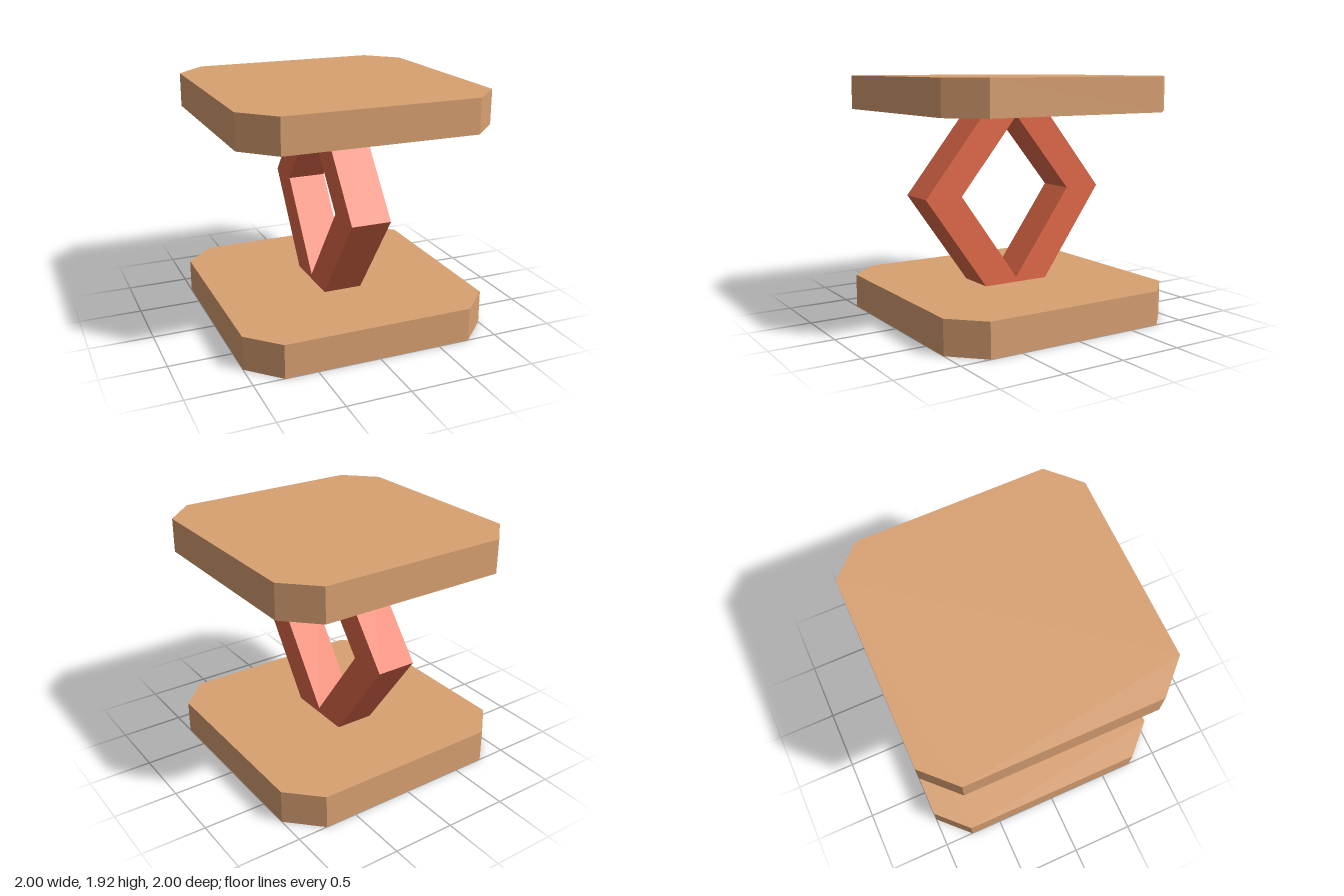
import * as THREE from 'three';

const wood = new THREE.MeshStandardMaterial({ color: 0xd9a172, flatShading: true });
const red = new THREE.MeshStandardMaterial({ color: 0xe46a4a, flatShading: true });

const points = (list) => list.map(([x, y]) => new THREE.Vector2(x, y));

function extrude(shape, depth) {
  return new THREE.ExtrudeGeometry(shape, { depth, bevelEnabled: false });
}

export function createModel() {
  const group = new THREE.Group();

  // Square slabs with cut corners, bottom and top
  const c = 0.76, thickness = 0.27;
  const slab = extrude(new THREE.Shape(points([
    [1, -c], [1, c], [c, 1], [-c, 1], [-1, c], [-1, -c], [-c, -1], [c, -1],
  ])), thickness);
  slab.rotateX(-Math.PI / 2);
  for (const [name, y] of [['bottomPlate', 0], ['topPlate', 1.655]]) {
    const plate = new THREE.Mesh(slab, wood);
    plate.name = name;
    plate.position.y = y;
    group.add(plate);
  }

  // Diamond-shaped frame joining the slabs, flattened where it meets them
  const outline = new THREE.Shape(points([
    [0.285, 0.27], [0.81, 1.005], [0.285, 1.655],
    [-0.285, 1.655], [-0.81, 1.005], [-0.285, 0.27],
  ]));
  outline.holes.push(new THREE.Path(points([
    [0, 0.31], [-0.5, 1.005], [0, 1.617], [0.5, 1.005],
  ])));
  const width = 0.315;
  const frameGeometry = extrude(outline, width);
  frameGeometry.translate(0, 0, -width / 2);
  frameGeometry.rotateY(Math.PI / 2);
  const frame = new THREE.Mesh(frameGeometry, red);
  frame.name = 'diamondFrame';
  group.add(frame);

  return group;
}
